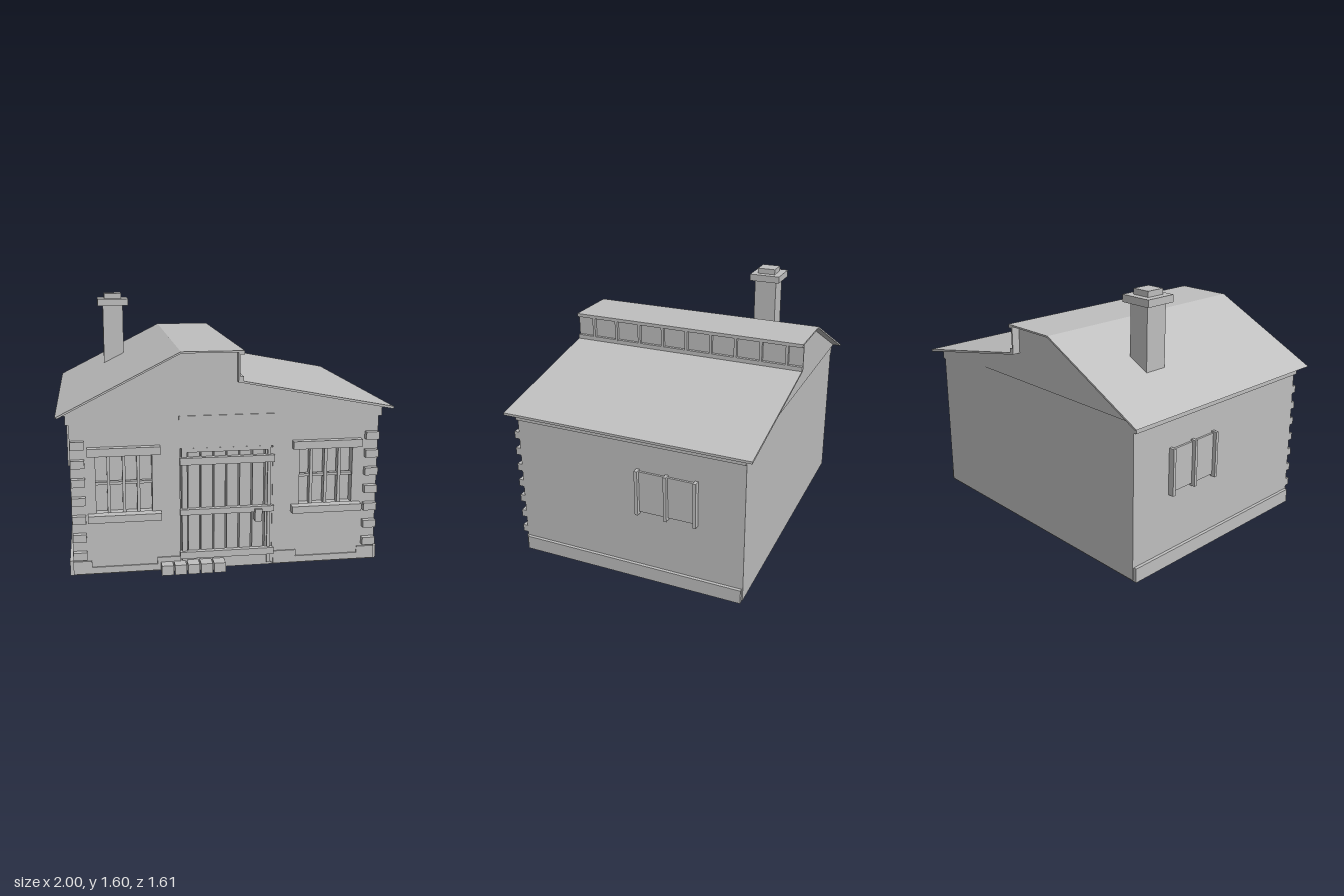
import * as THREE from 'three';

export function createModel() {
  const house = new THREE.Group();
  house.name = 'house';
  const stone = new THREE.MeshStandardMaterial({ color: 0xbfbfbf });
  stone.name = 'plain grey';
  stone.side = THREE.DoubleSide;

  const add = (name, geo, parent = house) => {
    const mesh = new THREE.Mesh(geo, stone);
    mesh.name = name;
    parent.add(mesh);
    return mesh;
  };
  // Box given by its limits on each axis
  const box = (name, x0, x1, y0, y1, z0, z1, parent) => {
    const m = add(name, new THREE.BoxGeometry(x1 - x0, y1 - y0, z1 - z0), parent);
    m.position.set((x0 + x1) / 2, (y0 + y1) / 2, (z0 + z1) / 2);
    return m;
  };
  const outline = (pts) => new THREE.Shape(pts.map(([x, y]) => new THREE.Vector2(x, y)));
  const slab = (name, shape, z0, z1) => {
    const geo = new THREE.ExtrudeGeometry(shape, { depth: z1 - z0, bevelEnabled: false });
    add(name, geo).position.z = z0;
  };
  const group = (name) => {
    const g = new THREE.Group();
    g.name = name;
    house.add(g);
    return g;
  };

  // Walls: solid core with a pierced front wall
  box('wallCore', -0.925, 0.925, 0.01, 0.975, -0.745, 0.67);
  const front = outline([
    [-0.925, 0.01], [-0.285, 0.01], [-0.285, 0.76], [0.275, 0.76],
    [0.275, 0.01], [0.925, 0.01], [0.925, 0.975], [-0.925, 0.975],
  ]);
  const windowX = [-0.615, 0.605];
  for (const x of windowX) {
    front.holes.push(outline([
      [x - 0.165, 0.38], [x - 0.165, 0.74], [x + 0.165, 0.74], [x + 0.165, 0.38],
    ]));
  }
  slab('frontWall', front, 0.67, 0.73);
  box('doorHeadPanel', -0.29, 0.28, 0.76, 0.955, 0.73, 0.737);

  // Base course, stepped along the front
  box('baseCourse', -0.945, 0.945, 0, 0.09, -0.737, 0.72);
  for (const s of [-1, 1]) {
    slab('frontPlinth', outline([
      [s * 0.925, 0.01], [s * 0.925, 0.09], [s * 0.815, 0.09], [s * 0.815, 0.05],
      [s * 0.425, 0.05], [s * 0.425, 0.09], [s * 0.285, 0.09], [s * 0.285, 0.01],
    ]), 0.72, 0.738);
  }

  // Eaves boards, corner stones and barred side windows
  for (const s of [-1, 1]) {
    const side = (name, a, b, ...rest) =>
      box(name, Math.min(s * a, s * b), Math.max(s * a, s * b), ...rest);
    side('eavesBoard', 0.92, 0.945, 0.92, 0.975, -0.745, 0.73);
    for (let i = 0; i < 7; i++) {
      const y = 0.108 + i * 0.112;
      side('cornerStone', 0.842, 0.922, y, y + 0.047, 0.725, 0.765);
    }
    side('sideWindowPanel', 0.92, 0.938, 0.47, 0.737, -0.45, -0.08);
    for (const z of [-0.08, -0.265, -0.45]) {
      side('sideWindowBar', 0.92, 0.962, 0.455, 0.748, z - 0.01, z + 0.01);
    }
  }

  // Front windows
  for (const x of windowX) {
    const win = group('frontWindow');
    box('lintel', x - 0.212, x + 0.212, 0.737, 0.785, 0.72, 0.772, win);
    box('sill', x - 0.216, x + 0.216, 0.34, 0.383, 0.72, 0.783, win);
    for (const dx of [-0.09, 0, 0.085]) {
      box('upright', x + dx - 0.009, x + dx + 0.009, 0.38, 0.74, 0.68, 0.725, win);
    }
    box('crossBar', x - 0.165, x + 0.165, 0.552, 0.568, 0.685, 0.715, win);
  }

  // Planked door with rails, posts and latch
  const door = group('door');
  for (let i = 0; i < 7; i++) {
    const x = -0.237 + i * 0.078;
    box('plank', x, x + 0.068, 0.02, 0.745, 0.67, 0.725, door);
  }
  box('leftPost', -0.275, -0.243, 0.02, 0.75, 0.67, 0.738, door);
  box('rightPost', 0.243, 0.262, 0.02, 0.75, 0.67, 0.738, door);
  box('topBar', -0.275, 0.262, 0.735, 0.76, 0.67, 0.738, door);
  for (const [y0, y1] of [[0.662, 0.705], [0.353, 0.388], [0.078, 0.12]]) {
    box('rail', -0.288, 0.282, y0, y1, 0.715, 0.755, door);
  }
  box('latch', 0.162, 0.205, 0.3, 0.375, 0.72, 0.775, door);

  // Row of stepping blocks
  for (let i = 0; i < 5; i++) {
    const x = -0.405 + i * 0.0785;
    box('steppingBlock', x, x + 0.07, 0, 0.06, 0.72, 0.805);
  }

  // Gables and thin overhanging roof slopes
  const gable = [[-0.98, 0.975], [-0.28, 1.33], [0.06, 1.33], [0.06, 1.155], [0.98, 0.975]];
  slab('frontGable', outline(gable), 0.725, 0.735);
  slab('backGable', outline(gable), -0.75, -0.74);
  slab('leftRoof', outline([
    [-1, 0.975], [-0.28, 1.337], [0.09, 1.337], [0.09, 1.327], [-0.278, 1.327], [-0.985, 0.97],
  ]), -0.8, 0.775);
  slab('rightRoof', outline([
    [0.055, 1.165], [1, 0.983], [1, 0.968], [0.055, 1.153],
  ]), -0.8, 0.775);

  // Row of roof windows along the step
  const strip = group('roofWindows');
  box('panes', 0.055, 0.065, 1.16, 1.335, -0.8, 0.775, strip);
  box('topRail', 0.055, 0.09, 1.315, 1.336, -0.8, 0.775, strip);
  box('bottomRail', 0.055, 0.085, 1.155, 1.187, -0.8, 0.775, strip);
  for (let i = 0; i < 9; i++) {
    const z = 0.653 - i * 0.169;
    box('mullion', 0.06, 0.086, 1.18, 1.32, z - 0.009, z + 0.009, strip);
  }

  // Chimney
  const chimney = group('chimney');
  box('stack', -0.695, -0.56, 0.975, 1.52, -0.415, -0.265, chimney);
  box('cap', -0.73, -0.525, 1.52, 1.565, -0.445, -0.24, chimney);
  box('pot', -0.685, -0.57, 1.565, 1.6, -0.4, -0.28, chimney);

  return house;
}
